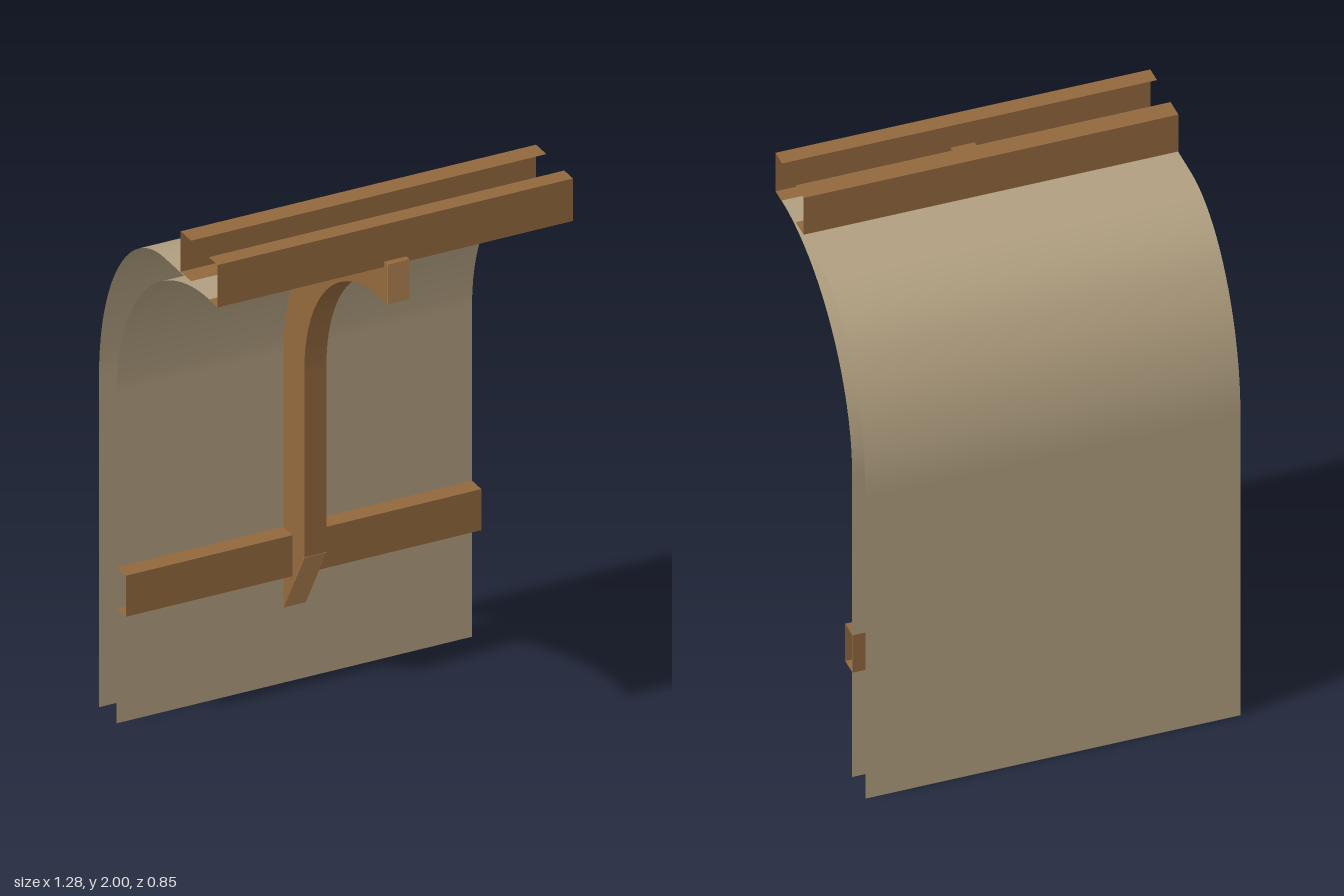
import * as THREE from 'three';

const WIDTH = 1.28;

// Elliptical bend in (z, y), from the vertical wall up to the crown
function bend(cz, cy, rz, ry, n = 20) {
  return Array.from({ length: n + 1 }, (_, i) => {
    const a = Math.PI - (i / n) * Math.PI / 2;
    return [cz + rz * Math.cos(a), cy + ry * Math.sin(a)];
  });
}

// Sweep an open (z, y) path across the full width
function sweep(path, smooth) {
  const geo = new THREE.PlaneGeometry(WIDTH, 1, 1, path.length - 1);
  const pos = geo.attributes.position;
  for (let i = 0; i < pos.count; i++) {
    const [z, y] = path[Math.floor(i / 2)];
    pos.setY(i, y);
    pos.setZ(i, z);
  }
  const out = smooth ? geo : geo.toNonIndexed();
  out.computeVertexNormals();
  return out;
}

export function createModel() {
  const group = new THREE.Group();
  const mat = (name, color) => {
    const m = new THREE.MeshStandardMaterial({ color, side: THREE.DoubleSide });
    m.name = name;
    return m;
  };
  const tan = mat('panelTan', 0xb09e7f);
  const brown = mat('frameBrown', 0x92683d);
  const endBrown = mat('cutEndBrown', 0xb28352);
  const add = (name, geo, material) => {
    const mesh = new THREE.Mesh(geo, material);
    mesh.name = name;
    group.add(mesh);
    return mesh;
  };

  // Bent skins: the outer one has the tighter shoulder, both meet under the top rails
  const outer = [[-0.425, 0], ...bend(0.03, 1.2, 0.455, 0.65), [0.345, 1.85]];
  const inner = [[-0.302, 0], ...bend(0.346, 1.2, 0.648, 0.648).filter((p) => p[0] < 0.34), [0.345, 1.848]];
  add('outerPanel', sweep(outer, true), tan);
  add('innerPanel', sweep(inner.reverse(), true), tan);

  // Thin channels, each a wall with two flanges: wall z, flange edge z, bottom, top
  const rails = [
    ['backTopRail', 0.145, 0.217, 1.853, 2],
    ['frontTopRail', 0.403, 0.342, 1.846, 2],
    ['lowerRail', -0.237, -0.304, 0.418, 0.567],
  ];
  for (const [name, wall, edge, y0, y1] of rails) {
    add(name, sweep([[edge, y1], [wall, y1], [wall, y0], [edge, y0]], false), brown);
  }

  // Backing of the lower rail, behind the inner skin
  add('lowerRailBack', sweep([[-0.304, 0.418], [-0.304, 0.567]], false), brown);

  // Curved central bracket with a slanted foot
  const s = new THREE.Shape();
  s.moveTo(-0.3, 0.275);
  s.lineTo(-0.155, 0.525);
  s.lineTo(-0.155, 1.2);
  s.absarc(0.365, 1.2, 0.52, Math.PI, Math.PI / 2, true);
  s.lineTo(0.424, 1.72);
  s.lineTo(0.424, 1.865);
  s.lineTo(0.365, 1.865);
  s.absarc(0.365, 1.2, 0.665, Math.PI / 2, Math.PI, false);
  s.closePath();
  const bracket = new THREE.ExtrudeGeometry(s, { depth: 0.08, bevelEnabled: false, curveSegments: 16 });
  bracket.rotateY(-Math.PI / 2).translate(0.04, 0, 0);
  add('bracket', bracket, brown);

  // Lighter cut ends of the bracket: the top end and the slanted foot
  add('bracketEnd', new THREE.BoxGeometry(0.08, 0.145, 0.002), endBrown).position.set(0, 1.7925, 0.424);
  const foot = add('bracketFoot', new THREE.BoxGeometry(0.08, 0.289, 0.002), endBrown);
  foot.position.set(0, 0.4, -0.2275);
  foot.rotation.x = Math.atan2(0.145, 0.25);

  return group;
}
